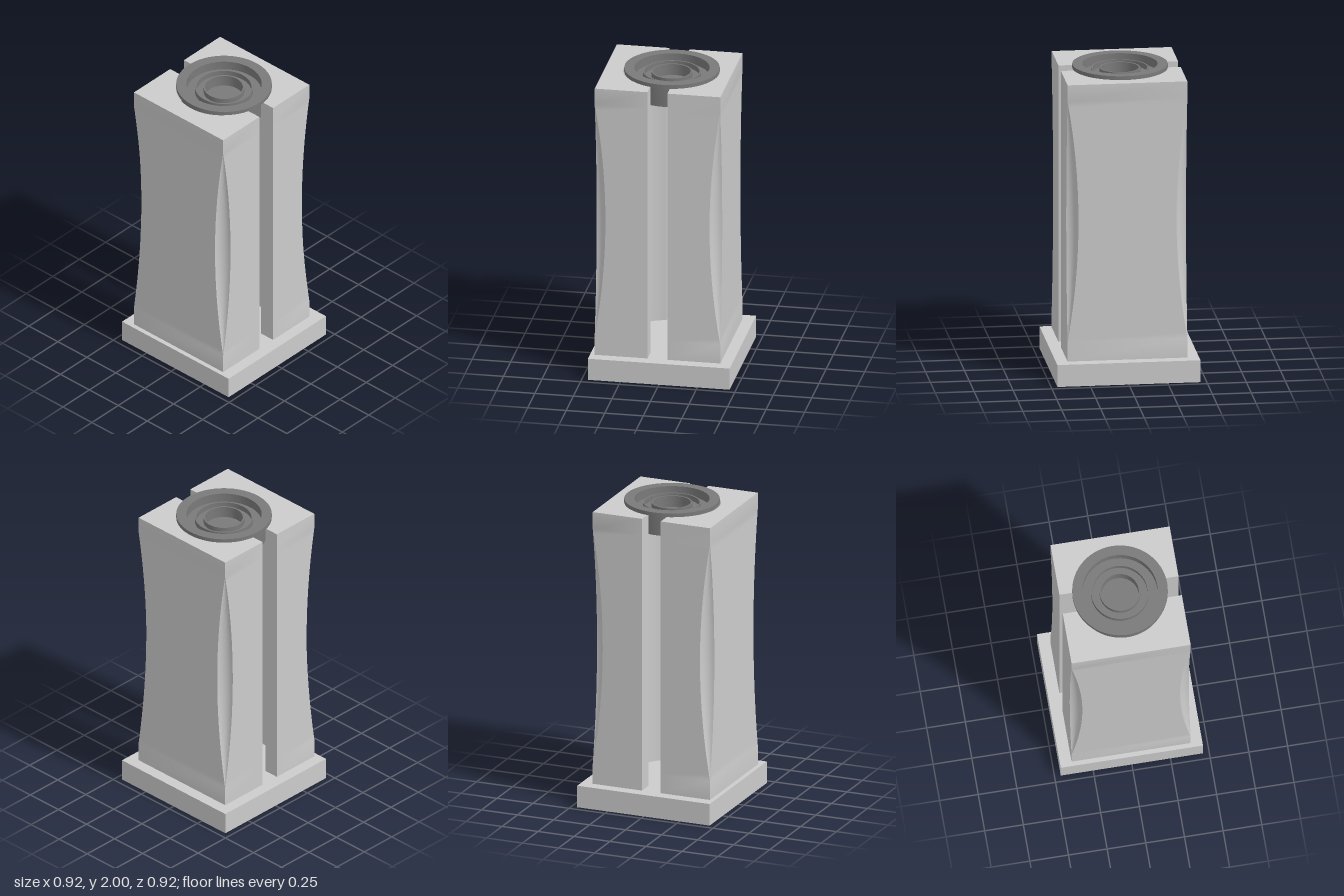
import * as THREE from 'three';
import { toCreasedNormals } from 'three/addons/utils/BufferGeometryUtils.js';

const BOTTOM = 0.145, TOP = 1.975;
const INNER = 0.065, OUTER = 0.4075, DEPTH = 0.385, BORE = 0.29;

// How far the corner hollow bites in at a given height
function hollow(y) {
  const t = (y - 1.07) / 0.795;
  return 0.07 * Math.max(0, 1 - t * t);
}

// Plan outline [x, z] of one pillar, counter-clockwise seen from above
function outline(y) {
  const d = hollow(y), n = 8, m = 32, pts = [[INNER, DEPTH]];
  for (let i = 0; i <= n; i++) {
    const a = (i / n) * Math.PI / 2;
    pts.push([OUTER - d * Math.cos(a), DEPTH - d * Math.sin(a)]);
  }
  for (let i = 0; i <= n; i++) {
    const a = (i / n) * Math.PI / 2;
    pts.push([OUTER - d * Math.sin(a), -DEPTH + d * Math.cos(a)]);
  }
  pts.push([INNER, -DEPTH]);
  // half of the round bore between the two pillars
  const limit = Math.acos(INNER / BORE);
  for (let i = 0; i <= m; i++) {
    const a = -limit + (2 * limit * i) / m;
    pts.push([BORE * Math.cos(a), BORE * Math.sin(a)]);
  }
  return pts;
}

// Stack the outlines into a solid
function pillarGeometry() {
  const heights = [BOTTOM];
  for (let i = 0; i <= 40; i++) heights.push(1.07 + 0.795 * (i / 20 - 1));
  heights.push(TOP);
  const pos = [], index = [];
  const count = outline(TOP).length;
  heights.forEach((y, r) => {
    for (const [x, z] of outline(y)) pos.push(x, y, z);
    if (r === 0) return;
    for (let i = 0; i < count; i++) {
      const j = (i + 1) % count, lo = (r - 1) * count, hi = r * count;
      index.push(lo + i, lo + j, hi + j, lo + i, hi + j, hi + i);
    }
  });
  // end caps
  const flat = outline(TOP).map(([x, z]) => new THREE.Vector2(x, -z));
  const last = (heights.length - 1) * count;
  for (const [a, b, c] of THREE.ShapeUtils.triangulateShape(flat, [])) {
    index.push(last + a, last + b, last + c, a, c, b);
  }
  const geo = new THREE.BufferGeometry();
  geo.setAttribute('position', new THREE.Float32BufferAttribute(pos, 3));
  geo.setIndex(index);
  return toCreasedNormals(geo, 0.6);
}

export function createModel() {
  const model = new THREE.Group();
  const grey = new THREE.MeshStandardMaterial({ color: 0xcccccc });
  const dark = new THREE.MeshStandardMaterial({ color: 0x7a7a7a });

  const base = new THREE.Mesh(new THREE.BoxGeometry(0.92, BOTTOM, 0.92), grey);
  base.name = 'base';
  base.position.y = BOTTOM / 2;
  model.add(base);

  // Two matching pillars either side of the slot
  const pillars = new THREE.Group();
  pillars.name = 'pillars';
  pillars.position.x = -0.0225;
  const geo = pillarGeometry();
  for (const side of ['left', 'right']) {
    const pillar = new THREE.Mesh(geo, grey);
    pillar.name = side + 'Pillar';
    if (side === 'right') pillar.rotation.y = Math.PI;
    pillars.add(pillar);
  }
  model.add(pillars);

  // Flanged cup with two raised concentric rings inside
  const profile = [
    [0, 1.835], [0.27, 1.835], [0.27, 1.975], [0.305, 1.975], [0.305, 2], [0.24, 2],
    [0.24, 1.94], [0.185, 1.94], [0.185, 1.975], [0.175, 1.975], [0.175, 1.94],
    [0.13, 1.94], [0.13, 1.975], [0.12, 1.975], [0.12, 1.9], [0, 1.9],
  ].map(([r, y]) => new THREE.Vector2(r, y));
  const cup = new THREE.Mesh(toCreasedNormals(new THREE.LatheGeometry(profile, 64), 0.6), dark);
  cup.name = 'ringedCup';
  model.add(cup);

  return model;
}
